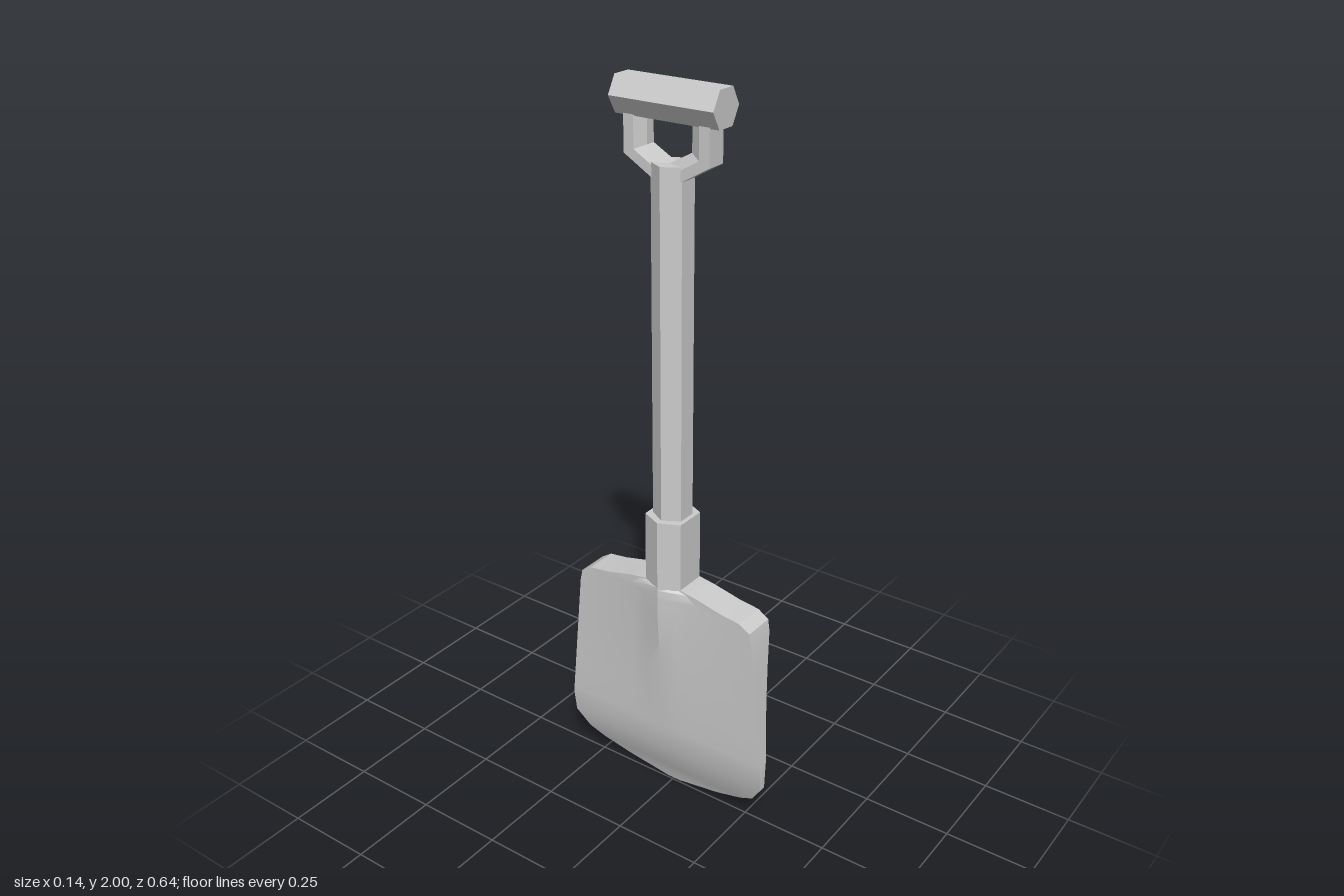
import * as THREE from 'three';
import { toCreasedNormals } from 'three/addons/utils/BufferGeometryUtils.js';

const flat = new THREE.MeshStandardMaterial({ color: 0xcccccc, flatShading: true });
const smooth = new THREE.MeshStandardMaterial({ color: 0xcccccc });

// Skin closed rings of [x, y, z], listed bottom to top, each counter-clockwise from above
function loft(rings) {
  const pos = [];
  const tri = (a, b, c) => pos.push(...a, ...b, ...c);
  const n = rings[0].length;
  for (let j = 0; j < rings.length - 1; j++) {
    for (let i = 0; i < n; i++) {
      const k = (i + 1) % n;
      const [a, b, c, d] = [rings[j][i], rings[j][k], rings[j + 1][k], rings[j + 1][i]];
      tri(a, b, c);
      tri(a, c, d);
    }
  }
  const low = rings[0], top = rings[rings.length - 1];
  for (let i = 1; i < n - 1; i++) {
    tri(low[0], low[i + 1], low[i]);
    tri(top[0], top[i], top[i + 1]);
  }
  const g = new THREE.BufferGeometry();
  g.setAttribute('position', new THREE.Float32BufferAttribute(pos, 3));
  g.computeVertexNormals();
  return g;
}

function add(parent, name, geometry, material = flat) {
  const mesh = new THREE.Mesh(geometry, material);
  mesh.name = name;
  parent.add(mesh);
  return mesh;
}

// One horizontal slice of the blade: rim, recess wall, floor and central rib, then the back
function bladeRing({ y, w, back, bulge = 0, rim, open, floorZ, floorX, ribZ, ribTop, ribX }) {
  const front = [[w, rim], [open, rim], [floorZ, floorX], [ribZ, floorX], [ribTop, ribX]];
  const rear = [[w, back], [Math.min(0.1, w * 0.7), back], [Math.min(0.05, w * 0.35), back - bulge / 2]];
  const at = (s) => ([z, x]) => [x, y, s * z];
  return [
    ...front.map(at(1)), [ribX, y, 0], ...front.map(at(-1)).reverse(),
    ...rear.map(at(-1)), [back - bulge, y, 0], ...rear.map(at(1)).reverse(),
  ];
}

// A plain slice without recess
function plainRing(y, w, back, rim, bulge = 0) {
  return bladeRing({ y, w, back, bulge, rim, open: w * 0.88, floorZ: w * 0.8, floorX: rim,
    ribZ: w * 0.3, ribTop: w * 0.2, ribX: rim });
}

function bladeGeometry() {
  const rings = [
    plainRing(0, 0.02, 0.006, 0.011),
    plainRing(0.025, 0.155, 0.0, 0.008),
    plainRing(0.055, 0.24, -0.012, 0.0),
    plainRing(0.08, 0.285, -0.021, -0.007),
    plainRing(0.135, 0.32, -0.038, -0.018),
    plainRing(0.2, 0.322, -0.045, -0.018),
  ];
  // Recessed middle: t runs from the lower end of the recess to its upper end
  for (const t of [0, 0.25, 0.5, 0.75, 1]) {
    const mix = (a, b) => a + (b - a) * t;
    rings.push(bladeRing({
      y: mix(0.22, 0.597), w: mix(0.32, 0.283), back: -0.046, bulge: 0.024 * t,
      rim: mix(-0.013, 0.042) - 0.024 * t * (1 - t),
      open: mix(0.284, 0.243), floorZ: mix(0.245, 0.205), floorX: mix(-0.02, -0.028),
      ribZ: mix(0.045, 0.085), ribTop: mix(0.035, 0.062), ribX: mix(-0.019, 0.045),
    }));
  }
  // Shoulder closing the recess
  rings.push(
    bladeRing({ y: 0.63, w: 0.276, back: -0.046, bulge: 0.024, rim: 0.045, open: 0.24,
      floorZ: 0.235, floorX: 0.045, ribZ: 0.085, ribTop: 0.062, ribX: 0.046 }),
    plainRing(0.65, 0.245, -0.046, 0.045, 0.024),
    plainRing(0.657, 0.19, -0.046, 0.045, 0.024),
    plainRing(0.675, 0.11, -0.046, 0.045, 0.024),
    plainRing(0.684, 0.055, -0.046, 0.045, 0.024),
  );
  return toCreasedNormals(loft(rings), 0.35);
}

// Six-sided socket slice with its own front and back depth
const socketRing = (y, front, back) => [
  [front, y, 0], [front - 0.026, y, -0.057], [back + 0.026, y, -0.057],
  [back, y, 0], [back + 0.026, y, 0.057], [front - 0.026, y, 0.057],
];

// Fork bar slice: flat outside, chamfered inside, from outer to inner [z, y]
function forkRing([oz, oy], [iz, iy]) {
  const half = [[0.028, 0], [0.028, 0.5], [0.013, 1]];
  const at = (s) => ([x, t]) => [s * x, oy + (iy - oy) * t, oz + (iz - oz) * t];
  return [...half.map(at(1)), ...half.map(at(-1)).reverse()];
}

export function createModel() {
  const model = new THREE.Group();
  model.name = 'shovel';

  add(model, 'blade', bladeGeometry(), smooth);
  add(model, 'socket', loft([
    socketRing(0.56, 0.03, -0.062), socketRing(0.6, 0.045, -0.07),
    socketRing(0.638, 0.07, -0.07), socketRing(0.88, 0.07, -0.07),
  ]));

  // Six-sided shaft with edges facing front and back of the blade
  const shaft = new THREE.CylinderGeometry(0.052, 0.052, 0.96, 6).rotateY(Math.PI / 2);
  add(model, 'shaft', shaft.translate(0, 1.33, 0));

  // Y-shaped fork, the second arm turned half round
  const arm = loft([
    forkRing([0, 1.75], [0, 1.81]),
    forkRing([0.122, 1.82], [0.064, 1.845]),
    forkRing([0.122, 1.925], [0.064, 1.925]),
  ]);
  add(model, 'leftForkArm', arm);
  add(model, 'rightForkArm', arm).rotation.y = Math.PI;

  // Cross grip
  const grip = new THREE.CylinderGeometry(0.052, 0.052, 0.294, 6).rotateY(Math.PI / 2).rotateX(Math.PI / 2);
  add(model, 'grip', grip.translate(0, 1.955, 0));

  return model;
}
